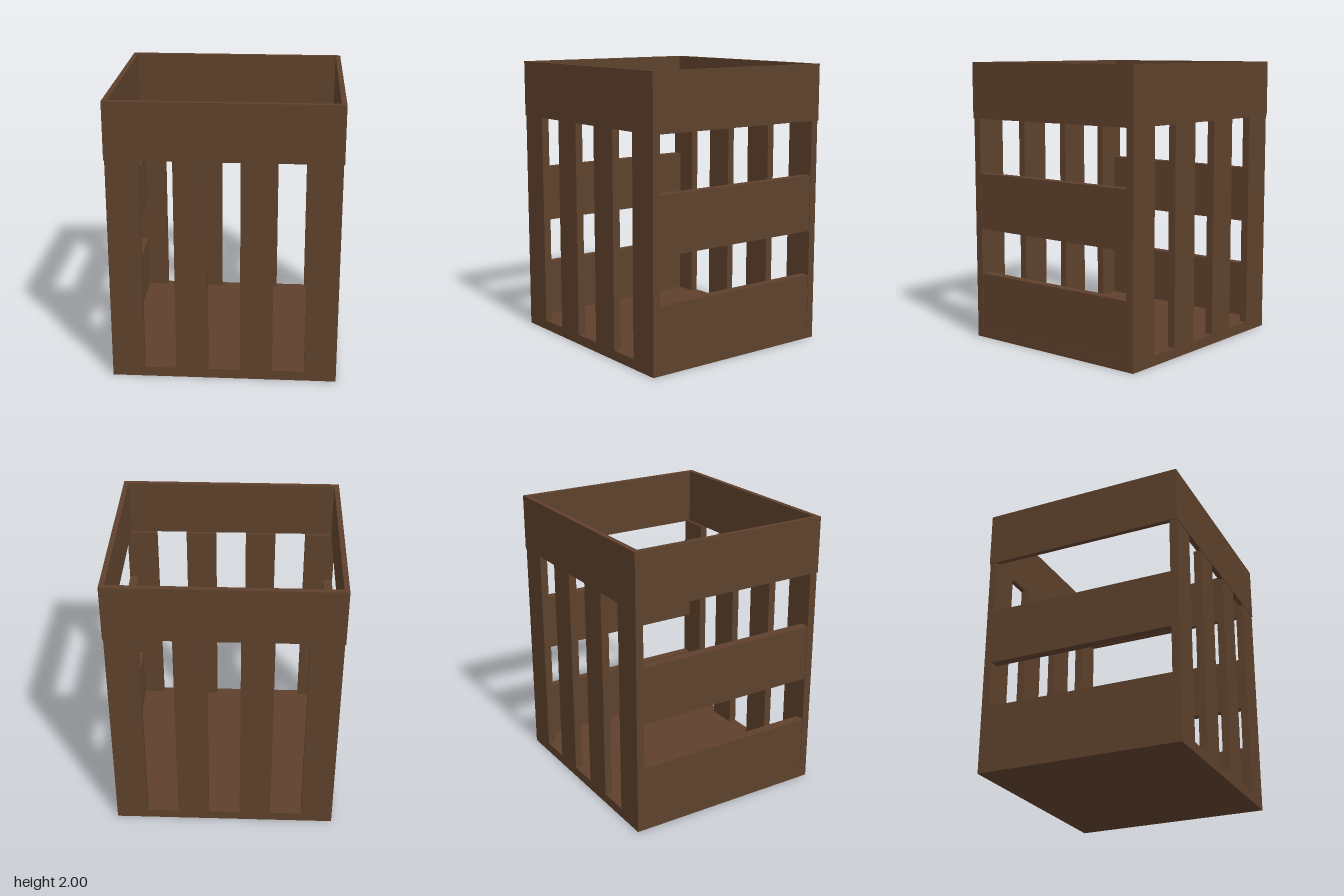
import * as THREE from 'three';

export function createModel() {
  const crate = new THREE.Group();
  crate.name = 'crate';
  const wood = new THREE.MeshStandardMaterial({ color: 0x5e412c });
  wood.name = 'brown wood';

  // Box given by its lower and upper corner
  function board(name, x0, x1, y0, y1, z0, z1) {
    const mesh = new THREE.Mesh(new THREE.BoxGeometry(x1 - x0, y1 - y0, z1 - z0), wood);
    mesh.position.set((x0 + x1) / 2, (y0 + y1) / 2, (z0 + z1) / 2);
    mesh.name = name;
    crate.add(mesh);
  }

  const halfX = 0.786, halfZ = 0.73, innerZ = 0.675;

  // Floor
  board('floor', -halfX, halfX, 0, 0.07, -halfZ, halfZ);

  // Four upright slats on the front and on the back
  const slatWidth = 0.224;
  for (let i = 0; i < 4; i++) {
    const x = -halfX + i * (2 * halfX - slatWidth) / 3;
    board('frontSlat', x, x + slatWidth, 0.07, 1.6, innerZ, halfZ);
    board('backSlat', x, x + slatWidth, 0.07, 1.6, -halfZ, -innerZ);
  }

  // Two horizontal boards on each side
  for (const [y0, y1] of [[0.07, 0.475], [0.803, 1.207]]) {
    board('leftSideBoard', 0.716, 0.783, y0, y1, -innerZ, innerZ);
    board('rightSideBoard', -0.783, -0.716, y0, y1, -innerZ, innerZ);
  }

  // Open rim: one extruded frame with a rectangular hole
  const rect = (Type, x, z) => new Type([
    new THREE.Vector2(-x, -z), new THREE.Vector2(x, -z),
    new THREE.Vector2(x, z), new THREE.Vector2(-x, z),
  ]);
  const frame = rect(THREE.Shape, 0.792, 0.734);
  frame.holes.push(rect(THREE.Path, 0.757, 0.697));
  const rimGeometry = new THREE.ExtrudeGeometry(frame, { depth: 0.4, bevelEnabled: false });
  rimGeometry.rotateX(-Math.PI / 2);
  const rim = new THREE.Mesh(rimGeometry, wood);
  rim.position.y = 1.6;
  rim.name = 'rim';
  crate.add(rim);

  return crate;
}
